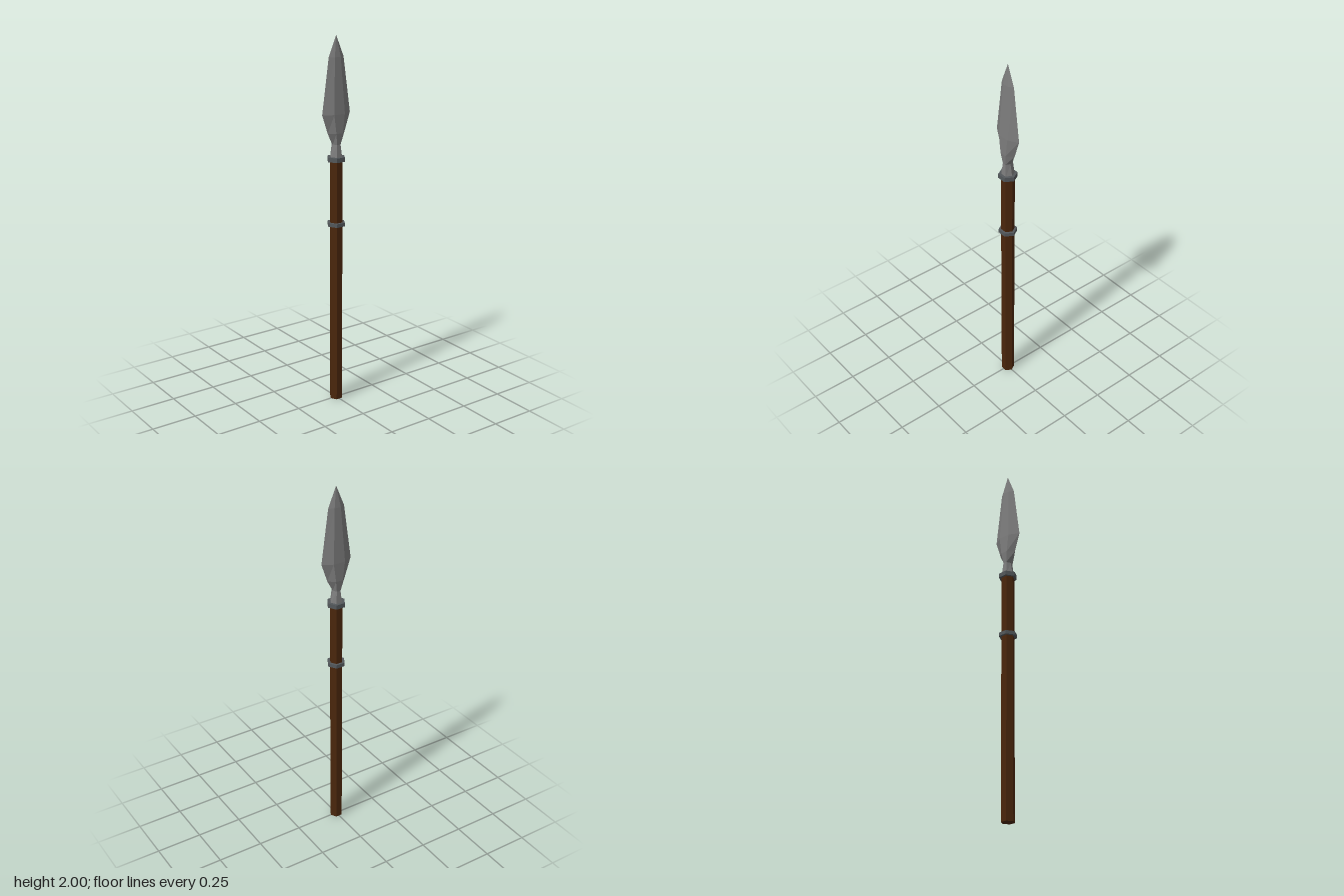
import * as THREE from 'three';

const SIDES = 6;

// Loft six-sided sections [y, ridge half width x, edge half width z, ridge half depth z]
function loftBlade(sections) {
  const positions = [];
  const index = [];
  for (const [y, x, z, ridge] of sections) {
    positions.push(0, y, z, x, y, ridge, x, y, -ridge, 0, y, -z, -x, y, -ridge, -x, y, ridge);
  }
  for (let s = 0; s < sections.length - 1; s++) {
    for (let i = 0; i < SIDES; i++) {
      const a = s * SIDES + i;
      const b = s * SIDES + (i + 1) % SIDES;
      index.push(a, b, b + SIDES, a, b + SIDES, a + SIDES);
    }
  }
  const geometry = new THREE.BufferGeometry();
  geometry.setAttribute('position', new THREE.Float32BufferAttribute(positions, 3));
  geometry.setIndex(index);
  const flat = geometry.toNonIndexed();
  flat.computeVertexNormals();
  return flat;
}

function material(name, color) {
  const m = new THREE.MeshStandardMaterial({ color, flatShading: true });
  m.name = name;
  return m;
}

export function createModel() {
  const group = new THREE.Group();
  group.name = 'spear';
  const wood = material('dark wood', 0x4a260c);
  const steel = material('steel', 0x7c7c7c);
  const iron = material('dark iron', 0x53585b);

  const add = (name, geometry, mat, y = 0) => {
    const mesh = new THREE.Mesh(geometry, mat);
    mesh.name = name;
    mesh.position.y = y;
    group.add(mesh);
  };

  // Hexagonal wooden shaft
  add('shaft', new THREE.CylinderGeometry(0.036, 0.036, 1.36, SIDES), wood, 0.68);

  // Iron bands around the shaft
  add('upperBand', new THREE.CylinderGeometry(0.05, 0.05, 0.024, SIDES), iron, 1.362);
  add('lowerBand', new THREE.CylinderGeometry(0.05, 0.05, 0.02, SIDES), iron, 1.01);

  // Socket, neck and leaf-shaped blade, with its edges along z
  add('blade', loftBlade([
    [1.36, 0.031, 0.036, 0.018],
    [1.44, 0.024, 0.021, 0.011],
    [1.5, 0.031, 0.053, 0.02],
    [1.6, 0.031, 0.087, 0.033],
    [1.89, 0.015, 0.046, 0.018],
    [2, 0, 0, 0],
  ]), steel);

  return group;
}
